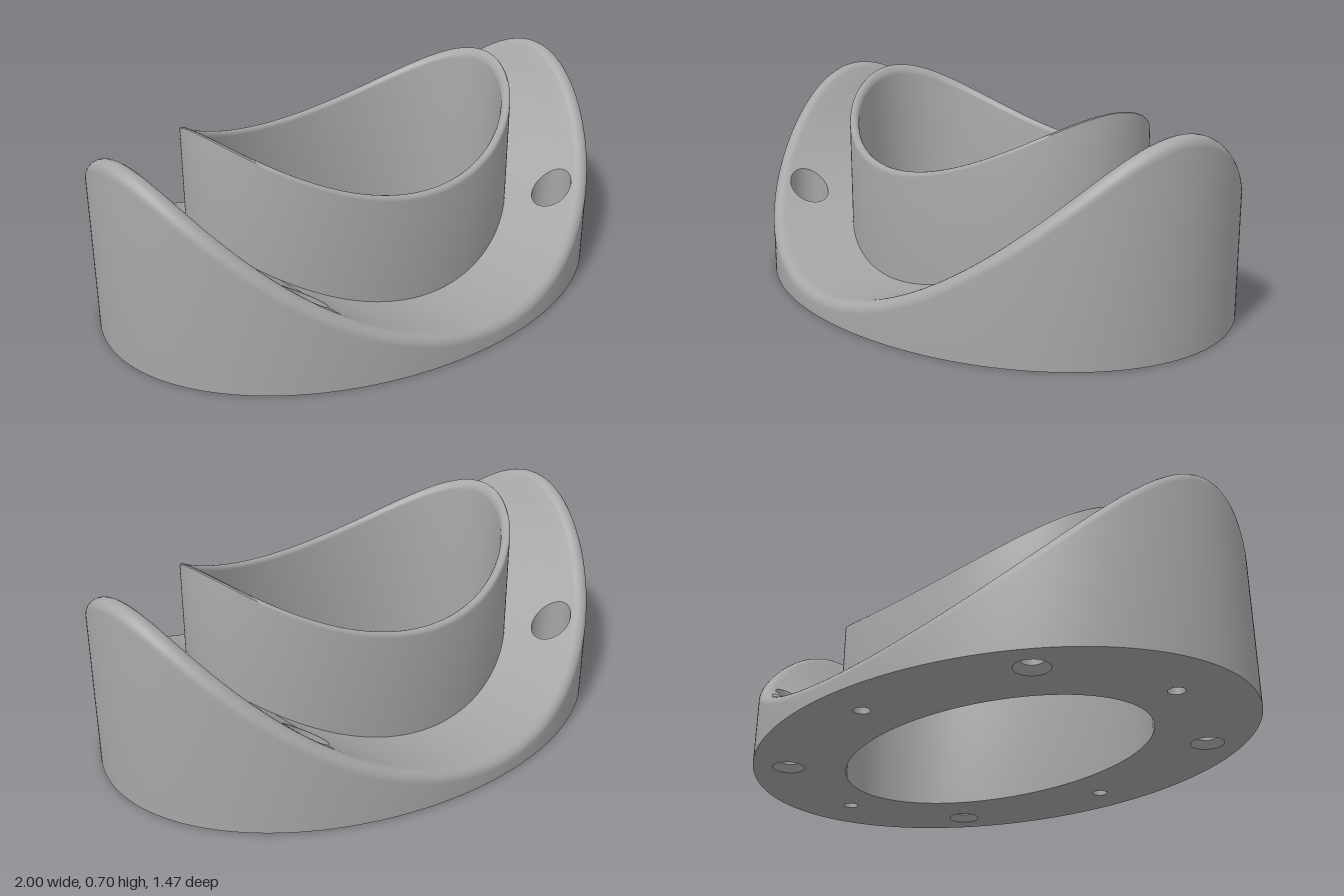
import * as THREE from 'three';
import { mergeGeometries, toCreasedNormals } from 'three/addons/utils/BufferGeometryUtils.js';

const N = 240;                       // samples around the ellipses
const R = 1.035, AXIS = 1.11;        // saddle cylinder radius and axis height
const ROUND = 0.035;                 // rim rounding radius
const OUT = [1, 0.737], COLLAR = [0.675, 0.447], BORE = [0.641, 0.413];
const SCREW = [0.605, 0.437], HALF = 9, STEPS = 8;

const V = (x, y, z) => new THREE.Vector3(x, y, z);
const saddleY = (x) => AXIS - Math.sqrt(R * R - x * x);
const onSaddle = (p) => V(p.x, saddleY(p.x), p.z);
const collarY = (x) => 1.49 - Math.sqrt(1.03 * 1.03 - x * x);
const range = (n, fn) => Array.from({ length: n }, (_, i) => fn(i));
const angle = (i) => (i / N) * Math.PI * 2;

// point on an ellipse, and the ring of all of them at height y or y(x)
const onEllipse = ([a, b], i, y) => {
  const x = a * Math.cos(angle(i)), z = b * Math.sin(angle(i));
  return V(x, typeof y === 'function' ? y(x) : y, z);
};
const ring = (e, y) => range(N, (i) => onEllipse(e, i, y));

// skin between successive rows of points
function loft(rows, closed = true) {
  const n = rows[0].length, index = [];
  for (let r = 0; r < rows.length - 1; r++) {
    for (let i = 0; i < (closed ? n : n - 1); i++) {
      const a = r * n + i, b = r * n + (i + 1) % n;
      index.push(a, a + n, b, b, a + n, b + n);
    }
  }
  const g = new THREE.BufferGeometry().setFromPoints(rows.flat());
  g.setIndex(index);
  return g;
}

// join pieces with smooth normals, keeping real edges sharp
function smooth(pieces) {
  const g = mergeGeometries(pieces);
  g.scale(100, 100, 100);
  const out = toCreasedNormals(g, 0.6);
  out.scale(0.01, 0.01, 0.01);
  return out;
}

// rounded rim: a ball rolled between the outer wall and the saddle
function rimPoint(i, t) {
  const p = onEllipse(OUT, i, 0);
  const wall = V(p.x / OUT[0] ** 2, 0, p.z / OUT[1] ** 2).normalize();
  const c = p.clone().addScaledVector(wall, -ROUND);
  c.y = AXIS - Math.sqrt((R + ROUND) ** 2 - c.x * c.x);
  const up = V(-c.x, AXIS - c.y, 0).normalize();
  const w = wall.angleTo(up);
  return c.addScaledVector(wall, ROUND * Math.sin((1 - t) * w) / Math.sin(w))
    .addScaledVector(up, ROUND * Math.sin(t * w) / Math.sin(w));
}

// saddle floor: t = 0 at the rim, 1 at the collar
const floorPoint = (i, t) =>
  onSaddle(rimPoint(i, 1).lerp(onEllipse(COLLAR, i, saddleY), t));

const circle = (x, z, r, y, n = 32) => range(n, (i) => {
  const a = (i / n) * Math.PI * 2;
  return V(x + r * Math.cos(a), y, z + r * Math.sin(a));
});

export function createModel() {
  const group = new THREE.Group();
  const grey = new THREE.MeshStandardMaterial({ color: 0xa6a6a6 });
  grey.name = 'grey';
  const add = (name, geometry) => {
    const m = new THREE.Mesh(geometry, grey);
    m.name = name;
    group.add(m);
  };

  // outer wall and rounded rim
  const base = [loft([ring(OUT, 0),
    ...range(9, (k) => range(N, (i) => rimPoint(i, k / 8)))])];
  const screwHoles = [], bottomLoops = [ring(BORE, 0)];

  for (let q = 0; q < 4; q++) {
    const mid = N / 8 + q * N / 4, lo = mid - HALF, hi = mid + HALF;
    const cx = SCREW[0] * (q === 0 || q === 3 ? 1 : -1);
    const cz = SCREW[1] * (q < 2 ? 1 : -1);

    // plain part of the saddle up to the next screw hole
    base.push(loft(range(STEPS + 1, (k) =>
      range(N / 4 - 2 * HALF + 1, (i) => floorPoint(hi + i, k / STEPS))), false));

    // saddle patch around the screw hole
    const edge = [
      ...range(2 * HALF, (i) => floorPoint(lo + i, 0)),
      ...range(STEPS, (k) => floorPoint(hi, k / STEPS)),
      ...range(2 * HALF, (i) => floorPoint(hi - i, 1)),
      ...range(STEPS, (k) => floorPoint(lo, 1 - k / STEPS)),
    ];
    const around = (r, y) => edge.map((p) => {
      const a = Math.atan2(p.z - cz, p.x - cx);
      return V(cx + r * Math.cos(a), y, cz + r * Math.sin(a));
    });
    const mouth = around(0.071, 0).map(onSaddle);
    base.push(loft(range(7, (k) =>
      edge.map((p, i) => onSaddle(p.clone().lerp(mouth[i], k / 6))))));

    // counterbore, through hole and flared lower end
    screwHoles.push(loft([mouth, around(0.071, 0.15), around(0.037, 0.15),
      around(0.037, 0.025), around(0.058, 0)]));
    bottomLoops.push(around(0.058, 0));
  }
  add('saddleBase', smooth(base));
  add('screwHoles', smooth(screwHoles));

  // inner collar with rounded top edge and open centre
  const half = (COLLAR[0] - BORE[0]) / 2;
  const lip = range(9, (k) => {
    const a = (k / 8) * Math.PI, d = half * (Math.cos(a) - 1);
    return ring([COLLAR[0] + d, COLLAR[1] + d],
      (x) => collarY(x) - half + half * Math.sin(a));
  });
  add('collar', smooth([loft([ring(COLLAR, saddleY), ...lip, ring(BORE, 0)])]));

  // small blind holes in the underside
  const blind = [[0.8, 0], [-0.8, 0], [0, 0.585], [0, -0.585]].map(([x, z]) => {
    bottomLoops.push(circle(x, z, 0.028, 0));
    return loft([circle(x, z, 0.001, 0.045), circle(x, z, 0.028, 0.045),
      circle(x, z, 0.028, 0)]);
  });
  add('blindHoles', smooth(blind));

  // flat underside
  const flat = (loop) => loop.map((p) => new THREE.Vector2(p.x, p.z));
  const shape = new THREE.Shape(flat(ring(OUT, 0)));
  shape.holes = bottomLoops.map((l) => new THREE.Path(flat(l)));
  add('underside', new THREE.ShapeGeometry(shape).rotateX(Math.PI / 2));

  return group;
}
